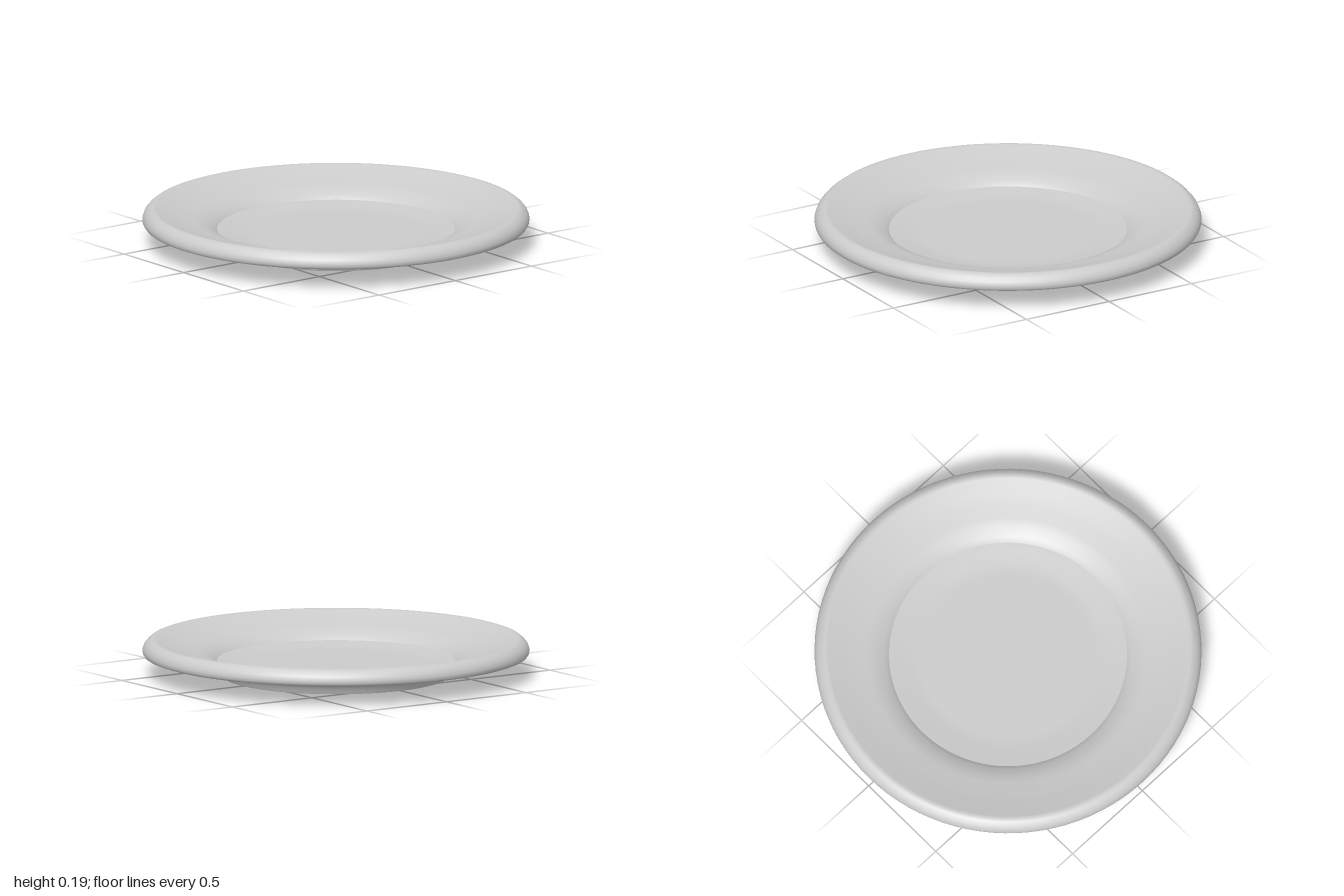
import * as THREE from 'three';

const SEGMENTS = 96;

// Profiles of [radius, height], running from the centre below, round the rim, to the centre on top.
// Each profile is smooth in itself; a sharp crease lies where two meet.
const profiles = {
  recessFloor: [[0, 0.03], [0.572, 0.03]],
  footInnerWall: [[0.572, 0.03], [0.576, 0]],
  footBottom: [[0.576, 0], [0.587, 0]],
  footOuterWall: [[0.587, 0], [0.593, 0.012], [0.6, 0.03], [0.612, 0.045], [0.632, 0.055], [0.66, 0.06]],
  underside: [[0.66, 0.06], [0.82, 0.084], [0.982, 0.108]],
  rim: [
    [0.982, 0.108], [0.993, 0.112], [0.999, 0.122], [1, 0.138], [0.993, 0.158], [0.98, 0.174],
    [0.962, 0.188], [0.945, 0.194], [0.93, 0.19],
    [0.86, 0.169], [0.79, 0.149], [0.73, 0.138], [0.69, 0.126], [0.64, 0.104], [0.615, 0.08],
  ],
  well: [[0.615, 0.08], [0.57, 0.075], [0.5, 0.064], [0.45, 0.063], [0, 0.063]],
};

export function createModel() {
  const plate = new THREE.Group();
  plate.name = 'plate';
  const material = new THREE.MeshStandardMaterial({ color: 0xcccccc });

  for (const [name, profile] of Object.entries(profiles)) {
    const points = profile.map(([r, y]) => new THREE.Vector2(r, y));
    const mesh = new THREE.Mesh(new THREE.LatheGeometry(points, SEGMENTS), material);
    mesh.name = name;
    plate.add(mesh);
  }
  return plate;
}
